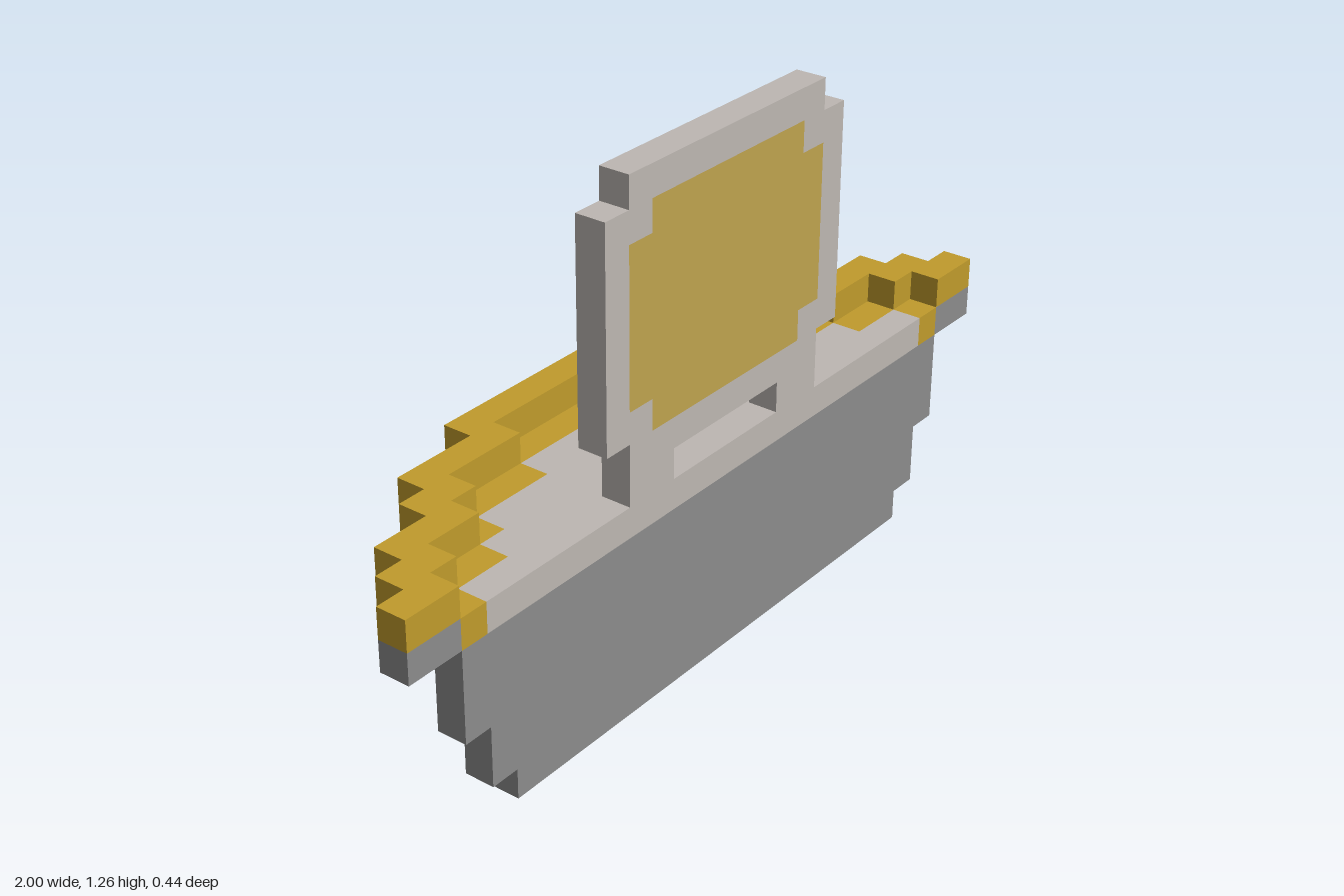
import * as THREE from 'three';

const U = 2 / 27; // one block; the model is 27 wide, 17 high and 6 deep

const mat = (name, color) => Object.assign(new THREE.MeshStandardMaterial({ color }), { name });

// Right side of a stepped outline: steps are [half width, end], beginning at start
function side(steps, start) {
  const pts = [];
  let from = start;
  for (const [half, end] of steps) {
    pts.push([half, from], [half, end]);
    from = end;
  }
  return pts;
}
const flip = pts => pts.map(([x, y]) => [-x, y]).reverse();
const vectors = pts => pts.map(([x, y]) => new THREE.Vector2(x, y));

// Symmetric closed outline
const stepped = (steps, start = 0) => vectors([...side(steps, start), ...flip(side(steps, start))]);

// U-shaped band between two stepped outlines, open towards the front
function band(outer, inner) {
  const o = side(outer, 0), i = side(inner, 0);
  return vectors([...o, ...flip(o), ...flip(flip(flip(i))).reverse(), ...i.slice().reverse()]);
}

// Half widths of successive rows, counted from front to back
const rows = halves => halves.map((half, i) => [half, i + 1]);

function extrude(outline, hole) {
  const shape = new THREE.Shape(outline);
  if (hole) shape.holes.push(new THREE.Path(hole));
  return new THREE.ExtrudeGeometry(shape, { depth: 1, bevelEnabled: false });
}

export function createModel() {
  const group = new THREE.Group();
  const stone = mat('hullGrey', 0x8c8c8c);
  const pale = mat('paleGrey', 0xbdb7b2);
  const gold = mat('gold', 0xc09b2c);
  const softGold = mat('panelGold', 0xbfa34e);

  const add = (name, geometry, material) => {
    geometry.scale(U, U, U);
    const mesh = new THREE.Mesh(geometry, material);
    mesh.name = name;
    group.add(mesh);
  };
  // Upright slice, one block deep, in a given row
  const upright = (name, outline, row, material, hole) =>
    add(name, extrude(outline, hole).translate(0, 0, 2 - row), material);
  // Flat layer, one block high, at a given level
  const layer = (name, outline, level, material) =>
    add(name, extrude(outline).rotateX(-Math.PI / 2).translate(0, level, 3), material);

  // Hull slices from front to back
  const hull = [
    [[9.5, 1], [10.5, 3], [11.5, 6]],
    [[8.5, 2], [9.5, 4], [10.5, 6]],
    [[5.5, 1], [6.5, 2], [7.5, 3], [8.5, 6]],
    [[2.5, 2], [4.5, 4], [6.5, 6]],
    [[1.5, 5], [3.5, 6]],
  ];
  hull.forEach((steps, row) => upright('hullSlice', stepped(steps, row === 4 ? 3 : 0), row, stone));

  // Floor, its gold border, and the rim around it
  const rimOuter = rows([13.5, 12.5, 11.5, 9.5, 8.5, 5.5]);
  const rimInner = rows([11.5, 10.5, 8.5, 7.5, 4.5]);
  const floor = rows([10.5, 8.5, 7.5, 4.5]);
  layer('floor', stepped(floor), 6, pale);
  layer('floorBorder', band(rimInner, floor), 6, gold);
  layer('lowerRim', band(rimOuter, rimInner), 6, stone);
  layer('upperRim', band(rimOuter, rimInner), 7, gold);

  // Upright back plate on two posts, with a gold panel through it
  const panel = stepped([[3.5, 10], [4.5, 15], [3.5, 16]], 9);
  upright('backPlate', stepped([[4.5, 9], [5.5, 16], [4.5, 17]], 8), 0, pale, panel);
  upright('backPanel', panel, 0, softGold);
  for (const s of [-1, 1]) {
    add('backPost', new THREE.BoxGeometry(2, 1, 1).translate(s * 3.5, 7.5, 2.5), pale);
  }
  return group;
}
